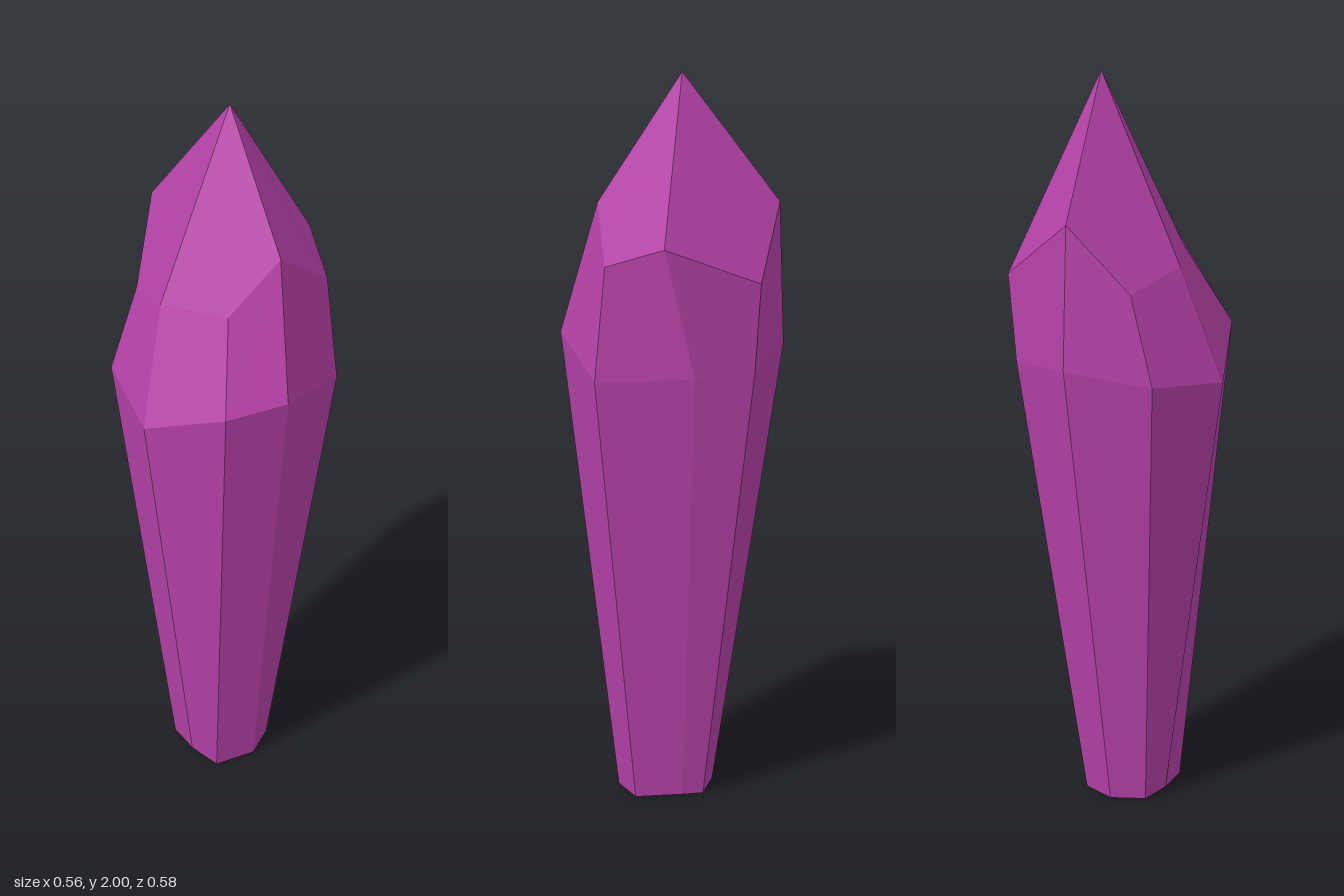
import * as THREE from 'three';

// Cross-sections, eight corners each, from the -x side round through +z
const base = [
  [-0.12, 0, 0.01], [-0.12, 0, 0.108], [-0.01, 0, 0.147], [0.082, 0, 0.11],
  [0.083, 0, -0.02], [0.08, 0, -0.077], [-0.01, 0, -0.115], [-0.1, 0, -0.08],
];
const shoulder = [
  [-0.28, 1.2, 0.005], [-0.21, 1.3, 0.23], [-0.045, 1.3, 0.29], [0.21, 1.23, 0.225],
  [0.245, 1.24, -0.03], [0.225, 1.245, -0.188], [0.037, 1.27, -0.293], [-0.18, 1.235, -0.222],
];
const crown = [
  [-0.175, 1.51, -0.037], [-0.108, 1.52, 0.138], [0.02, 1.66, 0.195], [0.195, 1.53, 0.195],
  [0.279, 1.59, 0.053], [0.24, 1.485, -0.2], [0.033, 1.652, -0.28], [-0.107, 1.465, -0.195],
];
const apex = [0.057, 2, -0.02];

// Each four-cornered facet gets one flat normal across both triangles
function facetGeometry(quads) {
  const position = [], normal = [];
  for (const quad of quads) {
    const [a, b, c, d] = quad.map((p) => new THREE.Vector3(...p));
    const n = c.clone().sub(a).cross(d.clone().sub(b)).normalize();
    for (const p of [a, b, c, a, c, d]) {
      position.push(p.x, p.y, p.z);
      normal.push(n.x, n.y, n.z);
    }
  }
  const geometry = new THREE.BufferGeometry();
  geometry.setAttribute('position', new THREE.Float32BufferAttribute(position, 3));
  geometry.setAttribute('normal', new THREE.Float32BufferAttribute(normal, 3));
  return geometry;
}

// Walls between two cross-sections
const band = (low, high) => low.map((p, i) => {
  const j = (i + 1) % low.length;
  return [p, low[j], high[j], high[i]];
});

export function createModel() {
  const group = new THREE.Group();
  group.name = 'crystal';
  const crystal = new THREE.MeshStandardMaterial({ color: 0xb742a9, side: THREE.DoubleSide });
  crystal.name = 'magenta crystal';

  const add = (name, quads) => {
    const mesh = new THREE.Mesh(facetGeometry(quads), crystal);
    mesh.name = name;
    group.add(mesh);
  };

  // Tapered shaft, open underneath
  add('shaft', band(base, shoulder));
  // Bevelled facets above the shoulder
  add('bevel', band(shoulder, crown));
  // Four large kite facets meeting at the point
  add('tip', [0, 2, 4, 6].map((i) => [apex, crown[i], crown[i + 1], crown[(i + 2) % 8]]));
  return group;
}
